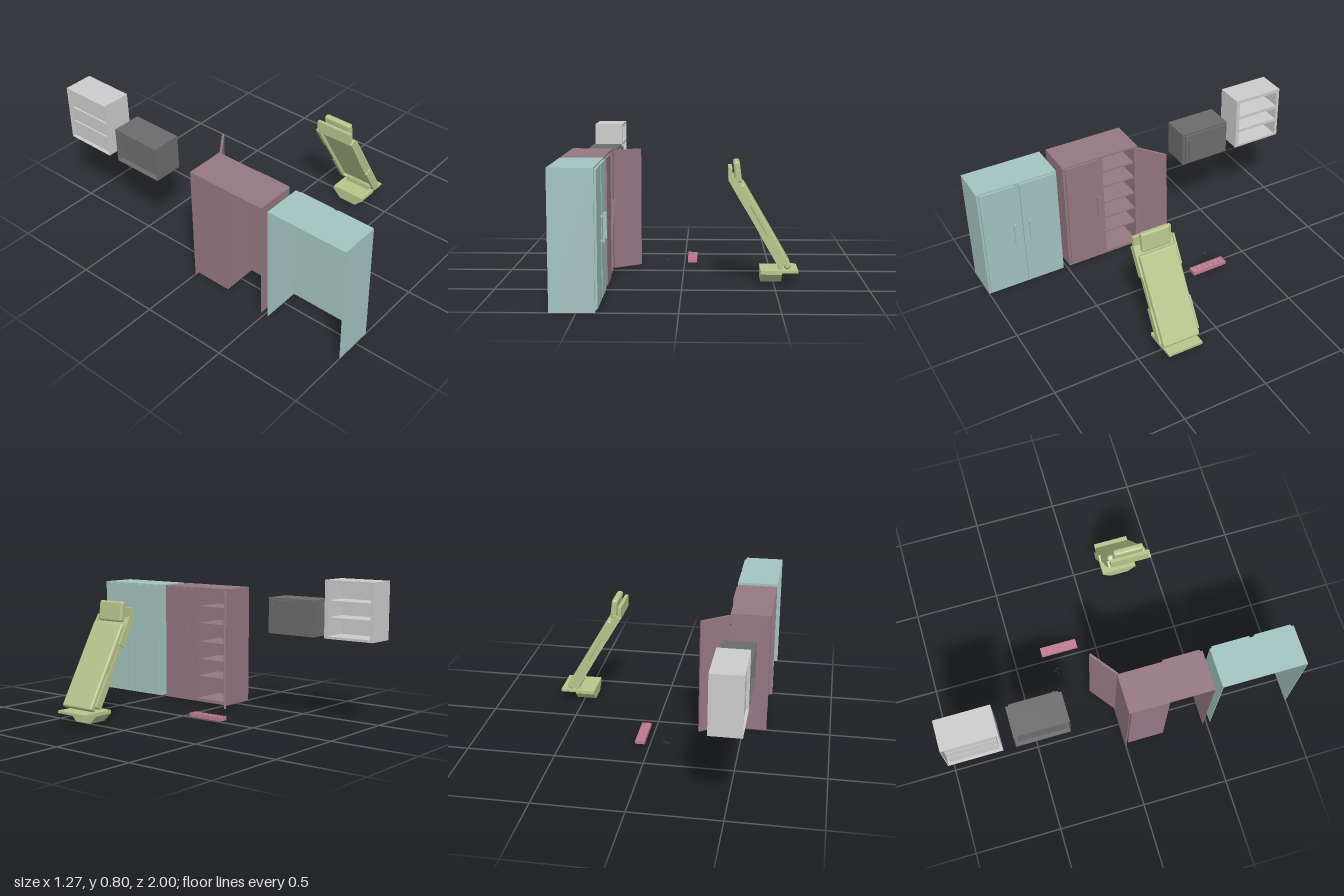
import * as THREE from 'three';
import { RoundedBoxGeometry } from 'three/addons/geometries/RoundedBoxGeometry.js';

const T = 0.004; // sheet thickness
const mat = (color) => new THREE.MeshStandardMaterial({ color });
const TEAL = mat(0xa3c4bf), PLUM = mat(0x957782), DARK = mat(0x6c6c6c), GREY = mat(0xcccccc);
const OLIVE = mat(0xb8c48c), PINK = mat(0xc07c92), BLACK = mat(0x333333);

function add(parent, name, geometry, material) {
  const mesh = new THREE.Mesh(geometry, material);
  mesh.name = name;
  parent.add(mesh);
  return mesh;
}

// Box given by its limits on each axis
function box(parent, name, material, [x0, x1], [y0, y1], [z0, z1]) {
  const m = add(parent, name, new THREE.BoxGeometry(x1 - x0, y1 - y0, z1 - z0), material);
  m.position.set((x0 + x1) / 2, (y0 + y1) / 2, (z0 + z1) / 2);
  return m;
}

function group(parent, name) {
  const g = new THREE.Group();
  g.name = name;
  parent.add(g);
  return g;
}

// Thin cabinet shell, open at the back, its front pierced by openings [z0, z1, y0, y1]
function shell(parent, name, material, X, Y, Z, openings, hasBottom) {
  const g = group(parent, name);
  box(g, 'top', material, X, [Y[1] - T, Y[1]], Z);
  if (hasBottom) box(g, 'bottom', material, X, [Y[0], Y[0] + T], Z);
  box(g, 'sideA', material, X, Y, [Z[0], Z[0] + T]);
  box(g, 'sideB', material, X, Y, [Z[1] - T, Z[1]]);
  const rect = (C, z0, z1, y0, y1) => new C([[z0, y0], [z1, y0], [z1, y1], [z0, y1]].map((p) => new THREE.Vector2(...p)));
  const face = rect(THREE.Shape, ...Z, ...Y);
  face.holes = openings.map((o) => rect(THREE.Path, ...o));
  const geo = new THREE.ExtrudeGeometry(face, { depth: T, bevelEnabled: false });
  geo.rotateY(-Math.PI / 2);
  add(g, 'faceFrame', geo, material).position.x = X[1];
  return g;
}

// Five-sided compartment, open towards +x
function bay(parent, material, [x0, x1], [z0, z1, y0, y1]) {
  const g = group(parent, 'compartment');
  box(g, 'backPanel', material, [x0, x0 + T], [y0, y1], [z0, z1]);
  box(g, 'floor', material, [x0, x1], [y0, y0 + T], [z0, z1]);
  box(g, 'ceiling', material, [x0, x1], [y1 - T, y1], [z0, z1]);
  box(g, 'wallA', material, [x0, x1], [y0, y1], [z0, z0 + T]);
  box(g, 'wallB', material, [x0, x1], [y0, y1], [z1 - T, z1]);
}

// Door filling an opening, with an optional bar handle
function door(parent, material, x, [z0, z1, y0, y1], handleZ, h0, h1, reach = 0.022) {
  box(parent, 'door', material, [x - 0.01, x + 0.012], [y0, y1], [z0, z1]);
  if (handleZ === undefined) return;
  const f = x + 0.012;
  box(parent, 'handleBar', material, [f + reach - 0.01, f + reach], [h0, h1], [handleZ - 0.007, handleZ + 0.007]);
  for (const y of [h0 + 0.008, h1 - 0.008])
    box(parent, 'handlePost', material, [f, f + reach - 0.01], [y - 0.005, y + 0.005], [handleZ - 0.005, handleZ + 0.005]);
}

function tallCabinets(root) {
  const X = [-0.635, -0.407], Y = [0, 0.71];
  // Closed two-door cabinet
  const doors = [[0.535, 0.75, 0.015, 0.702], [0.778, 0.988, 0.015, 0.702]];
  const closed = shell(root, 'closedCabinet', TEAL, X, Y, [0.52, 1], doors, false);
  door(closed, TEAL, X[1], doors[0], 0.712, 0.315, 0.455);
  door(closed, TEAL, X[1], doors[1], 0.805, 0.315, 0.455);

  // Cabinet with one door swung open on its shelves
  const shut = [0.257, 0.467, 0.015, 0.702], open = [0.017, 0.232, 0.015, 0.702];
  const shelves = shell(root, 'openCabinet', PLUM, X, Y, [0, 0.48], [shut, open], false);
  door(shelves, PLUM, X[1], shut, 0.278, 0.315, 0.455);
  const inner = [X[0] + 0.01, X[1]];
  bay(shelves, PLUM, inner, open);
  for (const y of [0.155, 0.26, 0.37, 0.485, 0.59])
    box(shelves, 'shelf', PLUM, [inner[0], X[1] - 0.01], [y - 0.004, y + 0.004], [open[0], open[1]]);
  const hinge = group(shelves, 'openDoor');
  hinge.position.set(-0.403, 0, 0.005);
  hinge.rotation.y = 0.65;
  box(hinge, 'doorLeaf', PLUM, [0, 0.188], [0.015, 0.7], [-0.006, 0.006]);
}

function wallCabinets(root) {
  const X = [-0.58, -0.407];
  const opening = [-0.602, -0.326, 0.485, 0.668];
  const dark = shell(root, 'darkWallCabinet', DARK, X, [0.47, 0.68], [-0.62, -0.31], [opening], true);
  bay(dark, DARK, [X[0] + 0.02, X[1]], opening);
  door(dark, DARK, X[1], opening, -0.35, 0.51, 0.64, 0.012);

  const bays = [[0.48, 0.578], [0.588, 0.67], [0.682, 0.784]].map((y) => [-0.985, -0.708, ...y]);
  const grey = shell(root, 'openWallShelf', GREY, X, [0.47, 0.8], [-1, -0.69], bays, true);
  for (const b of bays) bay(grey, GREY, [X[0] + 0.015, X[1]], b);
}

function recliner(root) {
  const g = group(root, 'tiltedBed');
  g.position.z = 0.275;

  // Sloping frame and mattress: local y runs up the slope, x is its normal
  const slope = group(g, 'slope');
  slope.position.set(0.53, 0.1, 0);
  slope.rotation.z = Math.PI / 6;
  const soft = (parent, name, x, y, z, w, h, d) =>
    add(parent, name, new RoundedBoxGeometry(w, h, d, 2, 0.012), OLIVE).position.set(x, y, z);
  soft(slope, 'mattress', 0.04, 0.233, 0, 0.038, 0.525, 0.225);
  box(slope, 'framePlate', OLIVE, [0.014, 0.024], [0, 0.55], [-0.112, 0.112]);
  box(slope, 'footRail', OLIVE, [-0.004, 0.02], [0, 0.01], [-0.112, 0.112]);
  box(slope, 'headRail', OLIVE, [-0.004, 0.02], [0.54, 0.55], [-0.112, 0.112]);
  for (const s of [-1, 1]) {
    const side = (a, b) => [s * a, s * b].sort((p, q) => p - q);
    box(slope, 'sideRail', OLIVE, [-0.004, 0.024], [0, 0.55], side(0.104, 0.116));
    for (const range of [[0, 0.195], [0.375, 0.55]])
      box(slope, 'sideGuard', OLIVE, [-0.005, 0.036], range, side(0.113, 0.125));
  }

  // Pillow and headboard
  const head = group(g, 'pillowMount');
  head.position.set(0.299, 0.617, 0);
  head.rotation.z = 0.12;
  soft(head, 'pillow', 0, 0, 0, 0.036, 0.115, 0.175);
  box(g, 'headboard', OLIVE, [0.25, 0.27], [0.57, 0.64], [-0.115, 0.115]);

  // Tapered base, post and footplate
  const section = new THREE.Shape([[-0.105, 0.08], [-0.105, 0.06], [-0.055, 0.012], [0.055, 0.012], [0.105, 0.06], [0.105, 0.08]]
    .map((p) => new THREE.Vector2(...p)));
  const base = new THREE.ExtrudeGeometry(section, { depth: 0.115, bevelEnabled: false });
  base.rotateY(Math.PI / 2);
  add(g, 'base', base, OLIVE).position.x = 0.427;
  box(g, 'post', OLIVE, [0.525, 0.545], [0.075, 0.115], [-0.08, 0.08]);
  box(g, 'footplate', OLIVE, [0.54, 0.632], [0.067, 0.081], [-0.105, 0.105]);
}

function smallItems(root) {
  // Divided tray
  const tray = group(root, 'tray');
  const X = [0.022, 0.076], Y = [0.024, 0.046], Z = [-0.332, -0.111];
  box(tray, 'trayPlate', PINK, X, [0.032, 0.041], Z);
  box(tray, 'traySide', PINK, [X[0], X[0] + T], Y, Z);
  box(tray, 'traySide', PINK, [X[1] - T, X[1]], Y, Z);
  for (let i = 0; i <= 6; i++) {
    const z = Z[0] + (i / 6) * (Z[1] - Z[0] - T);
    box(tray, 'divider', PINK, X, i % 6 ? [0.036, Y[1]] : Y, [z, z + T]);
  }
  // Loose pieces
  [[-0.1, 0.008, -0.265], [-0.081, 0.019, -0.279], [-0.07, 0.025, -0.261]].forEach((p, i) => {
    const piece = add(root, 'loosePiece', new THREE.CylinderGeometry(0.003, 0.003, 0.015, 8), BLACK);
    piece.position.set(...p);
    piece.rotation.set(0, i * 0.9, 1.35);
  });
}

export function createModel() {
  const root = new THREE.Group();
  root.name = 'furnitureSet';
  tallCabinets(root);
  wallCabinets(root);
  recliner(root);
  smallItems(root);
  return root;
}
